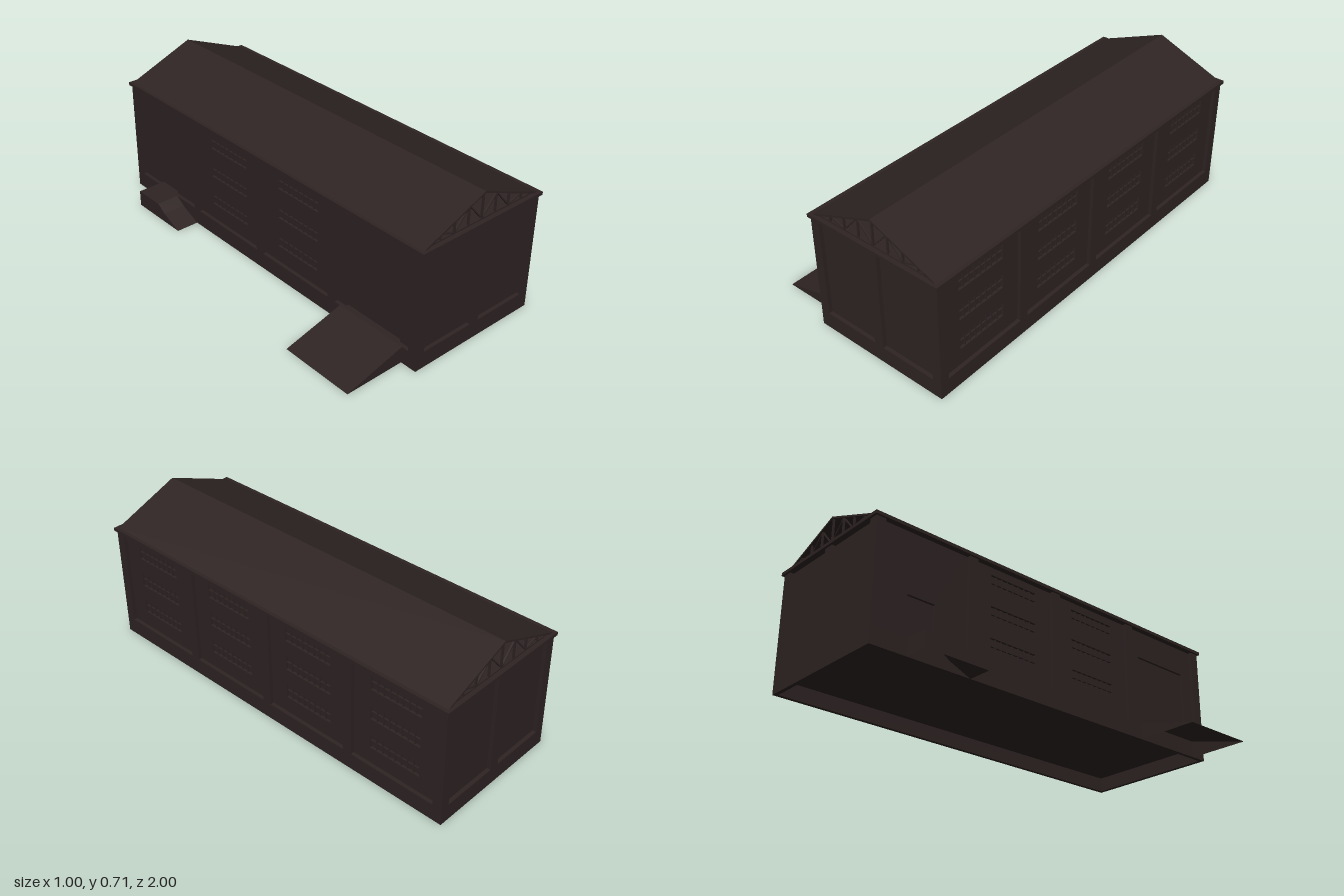
import * as THREE from 'three';

const CX = 0.145;      // centre line of the hall
const H = 0.57;        // wall height
const PLINTH = 0.08;
const DEPTH = 0.018;   // recess of each bay

export function createModel() {
  const model = new THREE.Group();
  const paint = new THREE.MeshStandardMaterial({ color: 0x2e2423, side: THREE.DoubleSide });
  paint.name = 'dark brown';

  function add(parent, name, geometry, x = 0, y = 0, z = 0) {
    const mesh = new THREE.Mesh(geometry, paint);
    mesh.name = name;
    mesh.position.set(x, y, z);
    parent.add(mesh);
    return mesh;
  }
  // Box given by its limits
  function box(parent, name, x0, x1, y0, y1, z0, z1) {
    return add(parent, name, new THREE.BoxGeometry(x1 - x0, y1 - y0, z1 - z0),
      (x0 + x1) / 2, (y0 + y1) / 2, (z0 + z1) / 2);
  }
  function polygon(points) {
    return new THREE.Shape(points.map(([x, y]) => new THREE.Vector2(x, y)));
  }
  const rect = (x0, x1, y0, y1) => polygon([[x0, y0], [x1, y0], [x1, y1], [x0, y1]]);

  // Wall in a local frame: x along it, outer face at z = 0, openings cut from the recessed bays
  function wall(name, half, bays, bayHalf) {
    const g = new THREE.Group();
    g.name = name;
    box(g, 'plinth', -half, half, 0, PLINTH, -DEPTH, 0);
    let from = -half;
    bays.forEach(({ c }) => {
      box(g, 'pier', from, c - bayHalf, PLINTH, H, -DEPTH, 0);
      from = c + bayHalf;
    });
    box(g, 'pier', from, half, PLINTH, H, -DEPTH, 0);
    bays.forEach(({ c, windows, door }) => {
      const panel = rect(c - bayHalf, c + bayHalf, PLINTH, H);
      const openings = windows
        ? [0.16, 0.31, 0.46].map(y => [c - 0.13, c + 0.13, y, y + 0.07])
        : door ? [door] : [];
      openings.forEach(o => panel.holes.push(rect(...o)));
      add(g, 'bayPanel', new THREE.ExtrudeGeometry(panel, { depth: 0.012, bevelEnabled: false }),
        0, 0, -DEPTH - 0.012);
      openings.forEach(([x0, x1, y0, y1]) => {
        box(g, windows ? 'windowPane' : 'door', x0, x1, y0, y1, -DEPTH - 0.018, -DEPTH - 0.012);
        if (!windows) return;
        // glazing bars
        const z0 = -DEPTH - 0.012, z1 = -DEPTH - 0.004, b = 0.0025;
        for (let i = 1; i < 8; i++) {
          const x = x0 + (x1 - x0) * i / 8;
          box(g, 'windowBar', x - b, x + b, y0, y1, z0, z1);
        }
        const ym = (y0 + y1) / 2;
        box(g, 'windowBar', x0, x1, ym - b, ym + b, z0, z1);
      });
    });
    model.add(g);
    return g;
  }

  // Long walls
  const w = c => ({ c, windows: true });
  const left = wall('leftWall', 0.99, [w(-0.725), w(-0.242), w(0.242), w(0.725)], 0.219);
  left.rotation.y = Math.PI / 2;
  left.position.x = 0.49;
  const right = wall('rightWall', 0.99, [
    { c: -0.725, door: [-0.81, -0.67, PLINTH, 0.28] },
    w(-0.242), w(0.242),
    { c: 0.725, door: [0.56, 0.88, PLINTH, 0.43] },
  ], 0.219);
  right.rotation.y = -Math.PI / 2;
  right.position.x = -0.2;

  // End walls
  const endBays = [{ c: -0.1625 }, { c: 0.1625 }];
  wall('frontWall', 0.345, endBays, 0.1375).position.set(CX, 0, 0.99);
  const back = wall('backWall', 0.345, endBays, 0.1375);
  back.rotation.y = Math.PI;
  back.position.set(CX, 0, -0.99);

  // Raised floor and cornice slab
  box(model, 'floor', -0.19, 0.48, 0.07, PLINTH, -0.98, 0.98);
  box(model, 'cornice', -0.21, 0.5, 0.566, 0.581, -1, 1);

  // Gable roof, open at both ends
  const roofShape = polygon([
    [-0.195, 0.58], [CX, 0.715], [0.485, 0.58], [0.463, 0.58], [CX, 0.706], [-0.173, 0.58],
  ]);
  add(model, 'roof', new THREE.ExtrudeGeometry(roofShape, { depth: 1.97, bevelEnabled: false }), 0, 0, -0.985);

  // Roof trusses: posts, diagonals and bottom chord
  function truss(z) {
    const g = new THREE.Group();
    g.name = 'roofTruss';
    const strut = (x0, y0, x1, y1, t) => {
      const m = add(g, 'strut', new THREE.BoxGeometry(Math.hypot(x1 - x0, y1 - y0), t, 0.008),
        (x0 + x1) / 2, (y0 + y1) / 2);
      m.rotation.z = Math.atan2(y1 - y0, x1 - x0);
    };
    const top = d => 0.708 - 0.397 * d;
    strut(-0.32, 0.584, 0.32, 0.584, 0.007);
    strut(0, 0.582, 0, top(0), 0.008);
    for (const s of [-1, 1]) {
      for (const d of [0.08, 0.16, 0.24]) strut(s * d, 0.582, s * d, top(d), 0.008);
      strut(0, 0.586, s * 0.08, top(0.08), 0.005);
      strut(s * 0.08, top(0.08), s * 0.16, 0.586, 0.005);
      strut(s * 0.16, 0.586, s * 0.24, top(0.24), 0.005);
    }
    g.position.set(CX, 0, z);
    model.add(g);
  }
  for (let i = 0; i < 5; i++) truss(-0.975 + i * 0.4875);

  // Hollow block without a bottom: side profile plus a top skin, extruded along local z
  function hollow(name, pts, width) {
    const g = new THREE.Group();
    g.name = name;
    for (const z of [0, width]) add(g, 'side', new THREE.ShapeGeometry(polygon(pts)), 0, 0, z);
    for (let i = 0; i + 1 < pts.length; i++) {
      const [[x0, y0], [x1, y1]] = [pts[i], pts[i + 1]];
      const skin = new THREE.PlaneGeometry(Math.hypot(x1 - x0, y1 - y0), width).rotateX(-Math.PI / 2);
      add(g, 'deck', skin, (x0 + x1) / 2, (y0 + y1) / 2, width / 2).rotation.z = Math.atan2(y1 - y0, x1 - x0);
    }
    model.add(g);
    return g;
  }
  // Loading ramp
  hollow('loadingRamp', [[-0.5, 0], [-0.2, PLINTH], [-0.2, 0]], 0.37).position.z = 0.54;
  // Door landing with a ramp running forward
  const landing = hollow('doorLanding',
    [[0.81, 0], [0.81, PLINTH], [0.65, PLINTH], [0.6, 0.046], [0.49, 0]].map(([z, y]) => [z, y]).reverse(), 0.115);
  landing.rotation.y = Math.PI / 2;
  landing.position.x = -0.315;

  return model;
}
